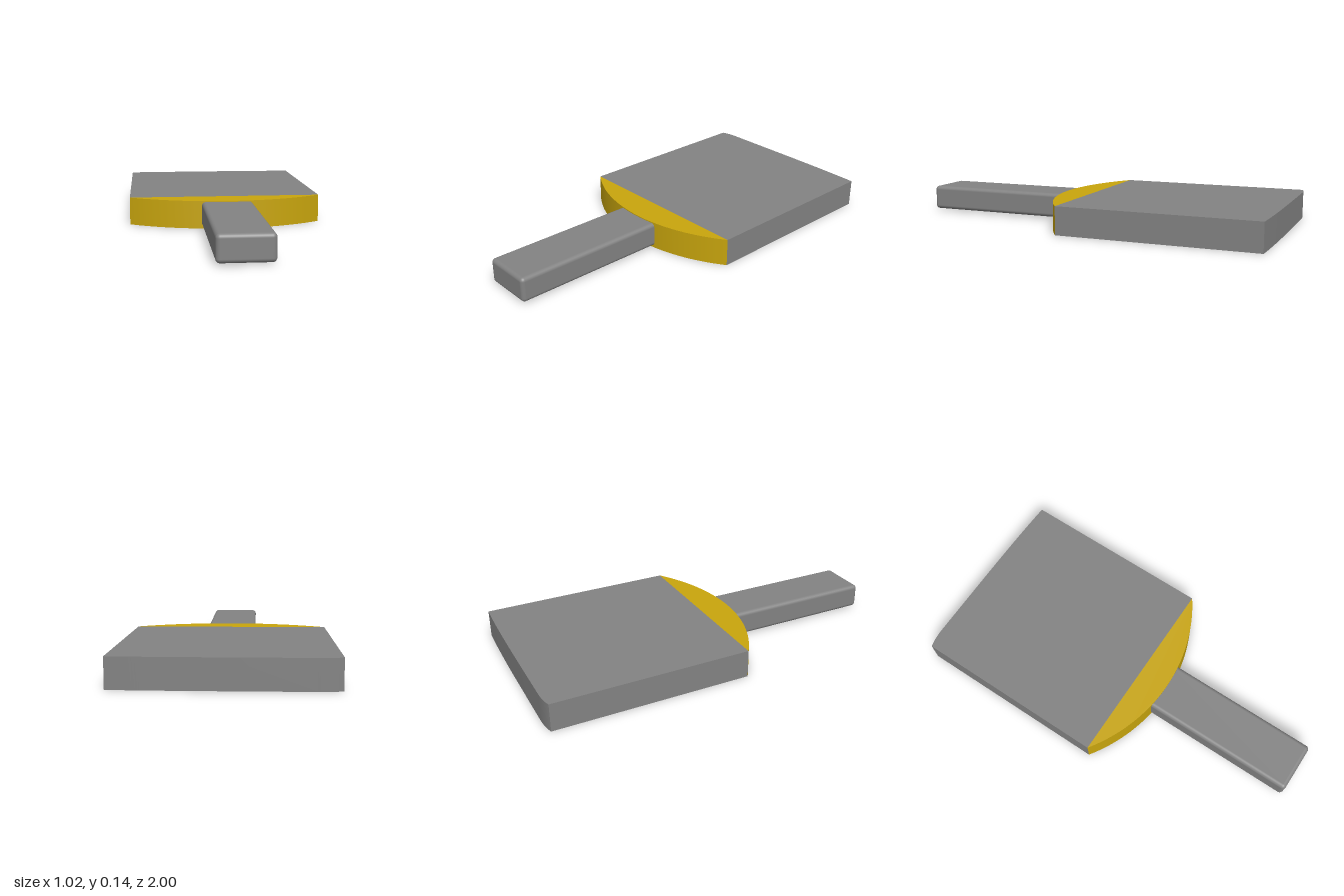
import * as THREE from 'three';
import { toCreasedNormals } from 'three/addons/utils/BufferGeometryUtils.js';
import { RoundedBoxGeometry } from 'three/addons/geometries/RoundedBoxGeometry.js';

const HALF = 0.51;      // half the blade width
const THICK = 0.145;    // blade thickness
const JOIN = 0.04;      // z where the blade meets the curved shoulder

// Extrude an outline drawn in x/z so that it stands on y = 0.
function slab(shape) {
  const g = new THREE.ExtrudeGeometry(shape, { depth: THICK, bevelEnabled: false, curveSegments: 32 });
  g.rotateX(Math.PI / 2).translate(0, THICK, 0);
  return toCreasedNormals(g, 0.4);
}

export function createModel() {
  const grey = new THREE.MeshStandardMaterial({ color: 0x838383 });
  const yellow = new THREE.MeshStandardMaterial({ color: 0xc8a50d });
  const dark = new THREE.MeshStandardMaterial({ color: 0x3c3c3c });
  grey.name = 'grey';
  yellow.name = 'yellow';
  dark.name = 'dark grey';

  const model = new THREE.Group();
  const add = (name, geometry, material) => {
    const mesh = new THREE.Mesh(geometry, material);
    mesh.name = name;
    model.add(mesh);
    return mesh;
  };

  // Flat blade with a slightly bowed far edge
  const blade = new THREE.Shape();
  blade.moveTo(-HALF, JOIN);
  blade.lineTo(-HALF, -0.985);
  blade.quadraticCurveTo(-0.47, -1, -0.4, -1);
  blade.lineTo(0, -0.998);
  blade.quadraticCurveTo(0.35, -0.995, HALF, -0.985);
  blade.lineTo(HALF, JOIN);
  add('blade', slab(blade), grey);

  // Curved shoulder: a circular segment in front of the blade
  const sag = 0.16;
  const radius = (HALF * HALF + sag * sag) / (2 * sag);
  const half = Math.asin(HALF / radius);
  const shoulder = new THREE.Shape();
  shoulder.absarc(0, JOIN + sag - radius, radius, Math.PI / 2 - half, Math.PI / 2 + half, false);
  add('shoulder', slab(shoulder), yellow);

  // Rounded handle, sunk slightly into the shoulder
  const handle = add('handle', new RoundedBoxGeometry(0.266, 0.13, 0.86, 4, 0.02), grey);
  handle.position.set(-0.002, 0.075, 0.57);

  // Narrow slot along the underside of the handle
  const slot = add('handleSlot', new THREE.BoxGeometry(0.07, 0.006, 0.74), dark);
  slot.position.set(-0.002, 0.011, 0.56);

  return model;
}
